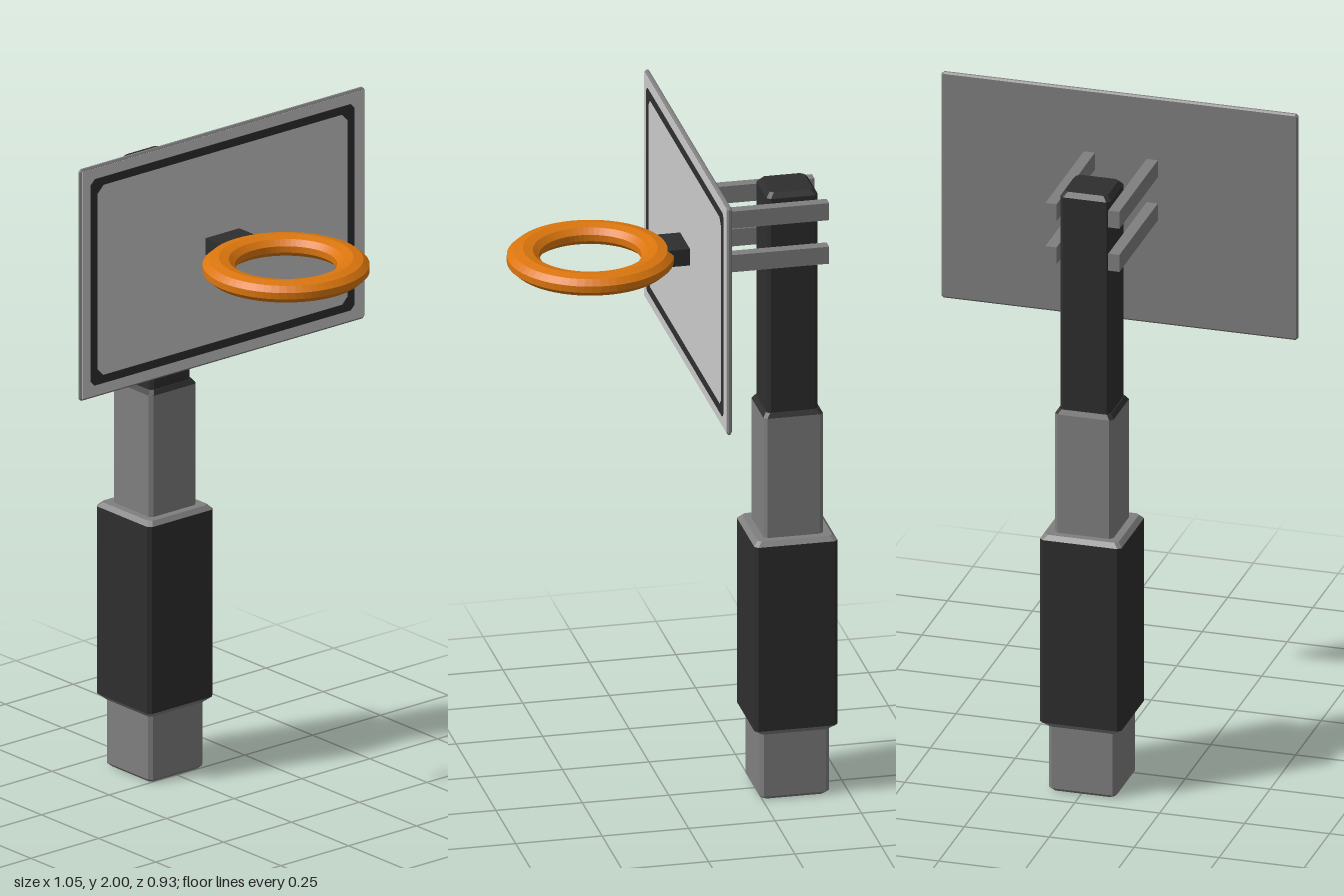
import * as THREE from 'three';

const mat = (name, color, extra = {}) => {
  const m = new THREE.MeshStandardMaterial({ color, ...extra });
  m.name = name;
  return m;
};

// Square column with chamfered corners, lofted through [height, half width] layers from bottom to top
function columnGeometry(layers) {
  const rings = layers.map(([y, h]) => {
    const k = h - Math.min(0.01, h * 0.5);
    return [[h, -k], [h, k], [k, h], [-k, h], [-h, k], [-h, -k], [-k, -h], [k, -h]]
      .map(([x, z]) => [x, y, z]);
  });
  const pos = [];
  for (let i = 0; i < rings.length - 1; i++) {
    for (let j = 0; j < 8; j++) {
      const n = (j + 1) % 8;
      const a = rings[i][j], b = rings[i][n], c = rings[i + 1][n], d = rings[i + 1][j];
      pos.push(...a, ...d, ...c, ...a, ...c, ...b);
    }
  }
  const g = new THREE.BufferGeometry();
  g.setAttribute('position', new THREE.Float32BufferAttribute(pos, 3));
  g.computeVertexNormals();
  return g;
}

// Rectangle outline with cut corners
function cutRect(Type, w, h, cut) {
  const x = w / 2, y = h / 2;
  return new Type([
    [x - cut, -y], [x, -y + cut], [x, y - cut], [x - cut, y],
    [-x + cut, y], [-x, y - cut], [-x, -y + cut], [-x + cut, -y],
  ].map(([px, py]) => new THREE.Vector2(px, py)));
}

export function createModel() {
  const model = new THREE.Group();
  model.name = 'basketballHoop';
  const grey = mat('steelGrey', 0x7f7f7f);
  const dark = mat('charcoal', 0x2e2e2e);
  const light = mat('boardLightGrey', 0xcacaca);
  const orange = mat('rimOrange', 0xdb760e);

  const add = (parent, name, geometry, material, x = 0, y = 0, z = 0) => {
    const mesh = new THREE.Mesh(geometry, material);
    mesh.name = name;
    mesh.position.set(x, y, z);
    parent.add(mesh);
    return mesh;
  };

  // Telescoping post
  const post = new THREE.Group();
  post.name = 'post';
  post.position.set(-0.004, 0, -0.343);
  model.add(post);
  [
    ['postBase', grey, [[0, 0], [0, 0.09], [0.01, 0.1], [0.21, 0.1]]],
    ['sleeveLowerBevel', grey, [[0.2, 0.1], [0.218, 0.12]]],
    ['paddedSleeve', dark, [[0.218, 0.12], [0.78, 0.12]]],
    ['sleeveCap', grey, [[0.78, 0.12], [0.793, 0.108], [0.793, 0]]],
    ['middlePost', grey, [[0.79, 0.086], [1.157, 0.086]]],
    ['middlePostCap', dark, [[1.157, 0.086], [1.17, 0.077], [1.17, 0]]],
    ['upperPost', dark, [[1.165, 0.074], [1.822, 0.074], [1.836, 0.062], [1.836, 0]]],
  ].forEach(([name, material, layers]) => add(post, name, columnGeometry(layers), material));

  // Backboard panel with a thin bevelled edge
  const boardY = 1.6525, boardZ = -0.056;
  const panel = new THREE.ExtrudeGeometry(cutRect(THREE.Shape, 1.04, 0.685, 0.004), {
    depth: 0.006, bevelEnabled: true, bevelThickness: 0.004, bevelSize: 0.005, bevelSegments: 1,
  });
  panel.translate(0, 0, -0.003);
  add(model, 'backboard', panel, grey, 0, boardY, boardZ);
  add(model, 'backboardFace', new THREE.BoxGeometry(1.038, 0.683, 0.002), light, 0, boardY, boardZ + 0.007);

  // Painted border line
  const border = cutRect(THREE.Shape, 0.972, 0.62, 0.014);
  border.holes.push(cutRect(THREE.Path, 0.924, 0.572, 0.022));
  add(model, 'borderLine', new THREE.ExtrudeGeometry(border, { depth: 0.002, bevelEnabled: false }),
    dark, -0.003, boardY, boardZ + 0.008);

  // Four support arms either side of the post
  for (const x of [-0.097, 0.088]) {
    for (const y of [1.65, 1.783]) {
      add(model, 'supportArm', new THREE.BoxGeometry(0.033, 0.052, 0.382), grey, x, y, -0.249);
    }
  }

  // Rim bracket
  add(model, 'rimBracket', new THREE.BoxGeometry(0.125, 0.05, 0.07), dark, -0.003, 1.662, -0.015);

  // Rim: an oval, faceted section swept round
  const section = [];
  for (let i = 0; i <= 10; i++) {
    const a = (i / 10) * Math.PI * 2 + Math.PI / 10;
    section.push(new THREE.Vector2(0.19 + 0.048 * Math.cos(a), 0.031 * Math.sin(a)));
  }
  const rim = new THREE.LatheGeometry(section, 64).toNonIndexed();
  rim.computeVertexNormals();
  add(model, 'rim', rim, orange, 0, 1.662, 0.227);

  return model;
}
